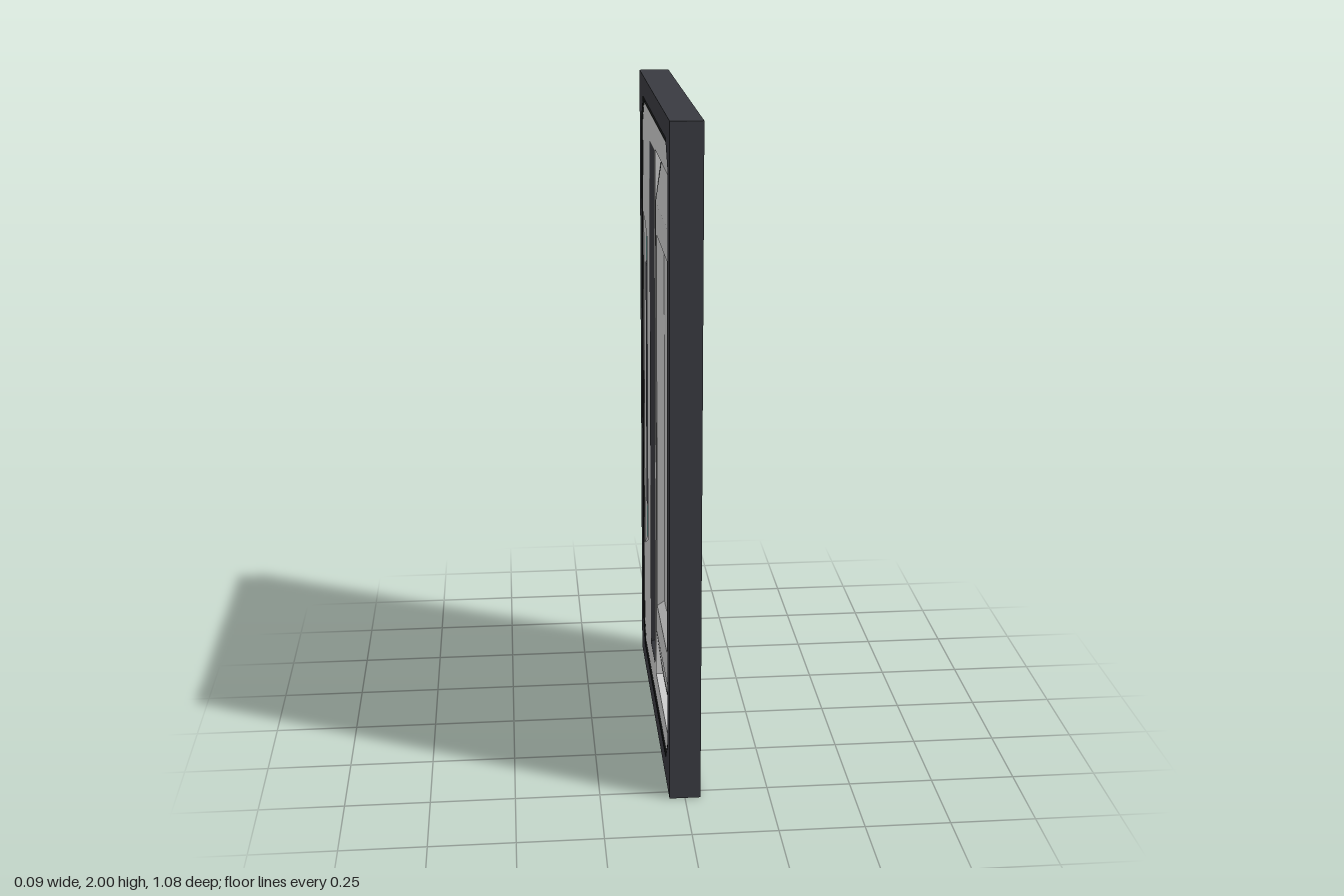
import * as THREE from 'three';

const mat = (color) => new THREE.MeshStandardMaterial({ color, flatShading: true });
const GREY = mat(0xcccccc), DARK = mat(0x393a40), BLACK = mat(0x0c0d0d);
const GLASS = mat(0xe6f4f8), TEAL = mat(0x4fc4bc), ORANGE = mat(0xe08c00);

const HALF = 0.046;  // half thickness of the frame
const FACE = 0.043;  // height of the door skin

// Local face frame: a = right, b = up, c = outward. Loops run anticlockwise.
const rect = (a0, a1, b0, b1, c) => [[a0, b0, c], [a1, b0, c], [a1, b1, c], [a0, b1, c]];
const octagon = (w, b0, b1, ca, cb, c) => [
  [-w + ca, b0, c], [w - ca, b0, c], [w, b0 + cb, c], [w, b1 - cb, c],
  [w - ca, b1, c], [-w + ca, b1, c], [-w, b1 - cb, c], [-w, b0 + cb, c]];
const toPath = (loop, Kind) => new Kind(loop.map((p) => new THREE.Vector2(p[0], p[1])));

// Joins successive loops with quads and optionally closes the last one
function bridge(loops, cap = false, only = null) {
  const out = [];
  for (let k = 0; k + 1 < loops.length; k++) {
    const A = loops[k], B = loops[k + 1], n = A.length;
    for (let i = 0; i < n; i++) {
      if (only && !only.includes(i)) continue;
      const j = (i + 1) % n;
      out.push(A[i], A[j], B[j], A[i], B[j], B[i]);
    }
  }
  const last = loops[loops.length - 1];
  if (cap) for (let i = 1; i + 1 < last.length; i++) out.push(last[0], last[i], last[i + 1]);
  return out;
}

// Turns local triangles into a mesh on the +x (s = 1) or mirrored -x (s = -1) face
function faceMesh(name, points, material, s) {
  const pos = [];
  for (let i = 0; i < points.length; i += 3) {
    const order = s > 0 ? [0, 1, 2] : [0, 2, 1];
    for (const o of order) {
      const [a, b, c] = points[i + o];
      pos.push(s * c, b, -a);
    }
  }
  const geo = new THREE.BufferGeometry();
  geo.setAttribute('position', new THREE.Float32BufferAttribute(pos, 3));
  geo.computeVertexNormals();
  const mesh = new THREE.Mesh(geo, material);
  mesh.name = name;
  return mesh;
}

// Flat sheet with holes, as local triangles
function sheet(outer, holes, c) {
  const shape = toPath(outer, THREE.Shape);
  shape.holes = holes.map((h) => toPath(h, THREE.Path));
  const geo = new THREE.ShapeGeometry(shape).toNonIndexed();
  const p = geo.attributes.position, out = [];
  for (let i = 0; i < p.count; i++) out.push([p.getX(i), p.getY(i), c]);
  return out;
}

function doorFace(s) {
  const g = new THREE.Group();
  g.name = s > 0 ? 'rightFace' : 'leftFace';
  const add = (name, pts, m) => g.add(faceMesh(name, pts, m, s));

  // Black groove around the door skin
  const skin = octagon(0.456, 0.08, 1.92, 0.06, 0.068, FACE);
  const skinFoot = skin.map(([a, b]) => [a, b, 0.034]);
  const opening = octagon(0.472, 0.066, 1.936, 0.065, 0.074, HALF);
  add('skinGroove', bridge([opening, skinFoot, skin].slice(0, 2)), BLACK);

  // Door skin with its three cut-outs
  const panelHole = rect(-0.444, -0.026, 0.16, 1.84, FACE);
  const windowHole = rect(0.014, 0.19, 0.172, 1.832, FACE);
  const gripHole = [[0.30, 0.49, FACE], [0.43, 0.43, FACE], [0.43, 1.567, FACE], [0.30, 1.51, FACE]];
  add('doorSkin', sheet(skin, [panelHole, windowHole, gripHole], FACE), GREY);
  add('skinEdge', bridge([skin, skinFoot].reverse()), BLACK);

  // Wide panel: sinks towards its top and bottom ends, with a shallow tray in the middle
  const low = 0.021, high = 0.042, y = [0.17, 0.312, 1.686, 1.83], d = [low, high, high, low];
  const profileLoop = (a0, a1, e, flat) => {
    const b = [y[0] - e, y[1], y[2], y[3] + e];
    const c = (i) => (flat ? FACE : d[i]);
    return [...[0, 1, 2, 3].map((i) => [a1, b[i], c(i)]), ...[3, 2, 1, 0].map((i) => [a0, b[i], c(i)])];
  };
  const rim = profileLoop(-0.444, -0.026, 0.01, true);
  const rimFoot = profileLoop(-0.444, -0.026, 0.01, false);
  const panelEdge = profileLoop(-0.434, -0.036, 0, false);
  add('panelWall', bridge([rim, rimFoot]), GREY);
  add('panelSeam', bridge([rimFoot, panelEdge]), BLACK);
  const slope = (i) => bridge([[
    [-0.434, y[i], d[i]], [-0.036, y[i], d[i]],
    [-0.036, y[i + 1], d[i + 1]], [-0.434, y[i + 1], d[i + 1]]]], true);
  add('panelSlopes', [...slope(0), ...slope(2)], GREY);
  add('panelTray', bridge([
    rect(-0.434, -0.036, y[1], y[2], high),
    rect(-0.412, -0.058, 0.41, 1.594, high),
    rect(-0.402, -0.068, 0.43, 1.578, 0.02)], true), GREY);

  // Tall narrow window
  const pane = rect(0.029, 0.176, 0.188, 1.816, 0.025);
  add('windowFrame', bridge([windowHole, rect(0.019, 0.185, 0.178, 1.826, 0.04), pane]), DARK);
  add('windowPane', bridge([pane], true), GLASS);

  // Grip recess: slanted ends and lit side walls
  const gripLip = [[0.309, 0.505, 0.035], [0.421, 0.455, 0.035], [0.421, 1.543, 0.035], [0.309, 1.497, 0.035]];
  const gripFloor = [[0.311, 0.56, 0.016], [0.419, 0.52, 0.016], [0.419, 1.482, 0.016], [0.311, 1.44, 0.016]];
  add('gripRecess', bridge([gripHole, gripLip]), GREY);
  add('gripRecessEnds', bridge([gripLip, gripFloor], true, [0, 2]), GREY);
  add('gripLights', bridge([gripLip, gripFloor], false, [1, 3]), TEAL);

  // Grip bar with a bevelled edge
  add('gripBar', bridge([
    rect(0.321, 0.405, 0.585, 1.418, 0.016),
    rect(0.321, 0.405, 0.585, 1.418, 0.034),
    rect(0.33, 0.396, 0.595, 1.408, 0.04)], true), DARK);
  if (s > 0) add('gripStripe', bridge([
    rect(0.379, 0.389, 0.61, 1.39, 0.039),
    rect(0.379, 0.389, 0.61, 1.39, 0.0415)], true), ORANGE);
  return g;
}

export function createModel() {
  const model = new THREE.Group();
  model.name = 'door';

  // Outer frame with a chamfered opening
  const shape = toPath(rect(-0.54, 0.54, 0, 2, 0), THREE.Shape);
  shape.holes.push(toPath(octagon(0.472, 0.066, 1.936, 0.065, 0.074, 0), THREE.Path));
  const geo = new THREE.ExtrudeGeometry(shape, { depth: 2 * HALF, bevelEnabled: false });
  geo.translate(0, 0, -HALF).rotateY(Math.PI / 2);
  const frame = new THREE.Mesh(geo, DARK);
  frame.name = 'frame';
  model.add(frame);

  for (const s of [1, -1]) model.add(doorFace(s));
  return model;
}
